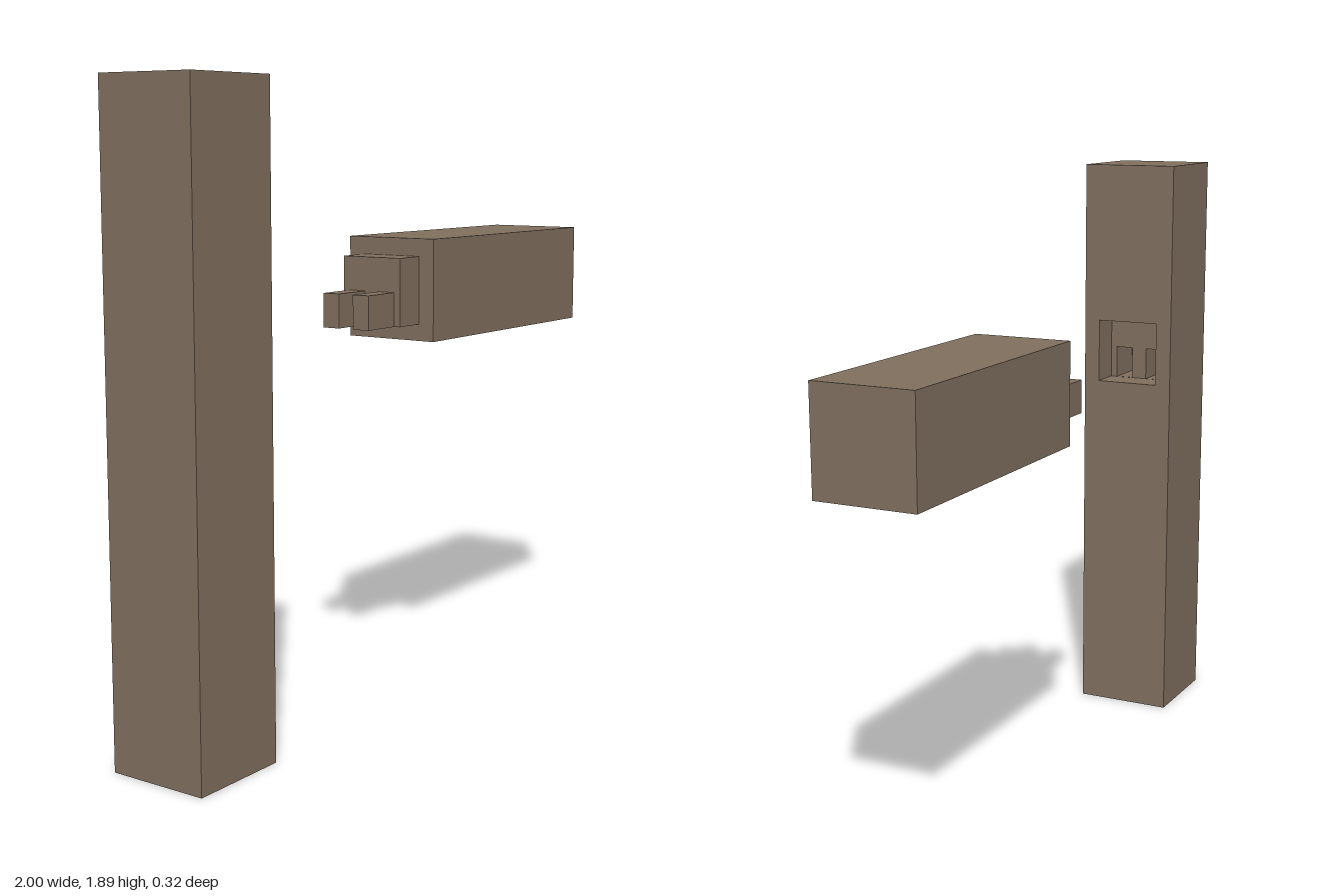
import * as THREE from 'three';

const wood = new THREE.MeshStandardMaterial({ color: 0x7f6e5d });
wood.name = 'brown wood';

// Face numbers of a box: 0 +x, 1 -x, 2 +y, 3 -y, 4 +z, 5 -z
function block(name, [x0, x1], [y0, y1], [z0, z1], skip = [], inward = false) {
  const geo = new THREE.BoxGeometry(x1 - x0, y1 - y0, z1 - z0);
  geo.translate((x0 + x1) / 2, (y0 + y1) / 2, (z0 + z1) / 2);
  const all = Array.from(geo.index.array);
  let index = [];
  for (let f = 0; f < 6; f++) if (!skip.includes(f)) index.push(...all.slice(f * 6, f * 6 + 6));
  if (inward) {
    index.reverse();
    const n = geo.attributes.normal;
    for (let i = 0; i < n.array.length; i++) n.array[i] *= -1;
  }
  geo.setIndex(index);
  geo.clearGroups();
  const mesh = new THREE.Mesh(geo, wood);
  mesh.name = name;
  return mesh;
}

// Flat rectangle facing +x, with rectangular openings
function panel(name, x, y, z, openings) {
  const outline = (C, [a, b], [c, d]) => new C([
    new THREE.Vector2(-d, a), new THREE.Vector2(-c, a),
    new THREE.Vector2(-c, b), new THREE.Vector2(-d, b),
  ]);
  const shape = outline(THREE.Shape, y, z);
  for (const [oy, oz] of openings) shape.holes.push(outline(THREE.Path, oy, oz));
  const geo = new THREE.ShapeGeometry(shape);
  geo.rotateY(Math.PI / 2);
  geo.translate(x, 0, 0);
  const mesh = new THREE.Mesh(geo, wood);
  mesh.name = name;
  return mesh;
}

export function createModel() {
  const model = new THREE.Group();
  model.name = 'mortiseAndTenonJoint';

  const side = [-0.158, 0.158];
  const face = -0.685, depth = 0.105, reach = 0.135;
  const stubY = [1.16, 1.37], stubZ = [-0.105, 0.105];
  const tongueY = [1.16, 1.265];
  const tongues = [[-0.084, -0.026], [0.026, 0.084]];

  // Post with a stepped mortise: shallow pocket, then two deep slots
  const post = new THREE.Group();
  post.name = 'post';
  const height = [0, 1.895];
  post.add(
    block('postBody', [-1, face], height, side, [0]),
    panel('postInnerFace', face, height, side, [[stubY, stubZ]]),
    block('mortiseWalls', [face - depth, face], stubY, stubZ, [0, 1], true),
    // Slot floors are flush with the pocket floor, so the openings sit a hair above it
    panel('mortiseFloor', face - depth, stubY, stubZ,
      tongues.map((z) => [[tongueY[0] + 0.0005, tongueY[1]], z])),
  );
  for (const z of tongues) {
    post.add(block('mortiseSlot', [face - depth - reach, face - depth], tongueY, z, [0], true));
  }

  // Rail with a stub tenon and twin tongues
  const rail = new THREE.Group();
  rail.name = 'rail';
  rail.add(
    block('railBody', [0.105, 1], [1.108, 1.425], side),
    block('stubTenon', [0, depth], stubY, stubZ, [0]),
  );
  for (const z of tongues) rail.add(block('tenonTongue', [-reach, 0], tongueY, z, [0]));

  model.add(post, rail);
  return model;
}
